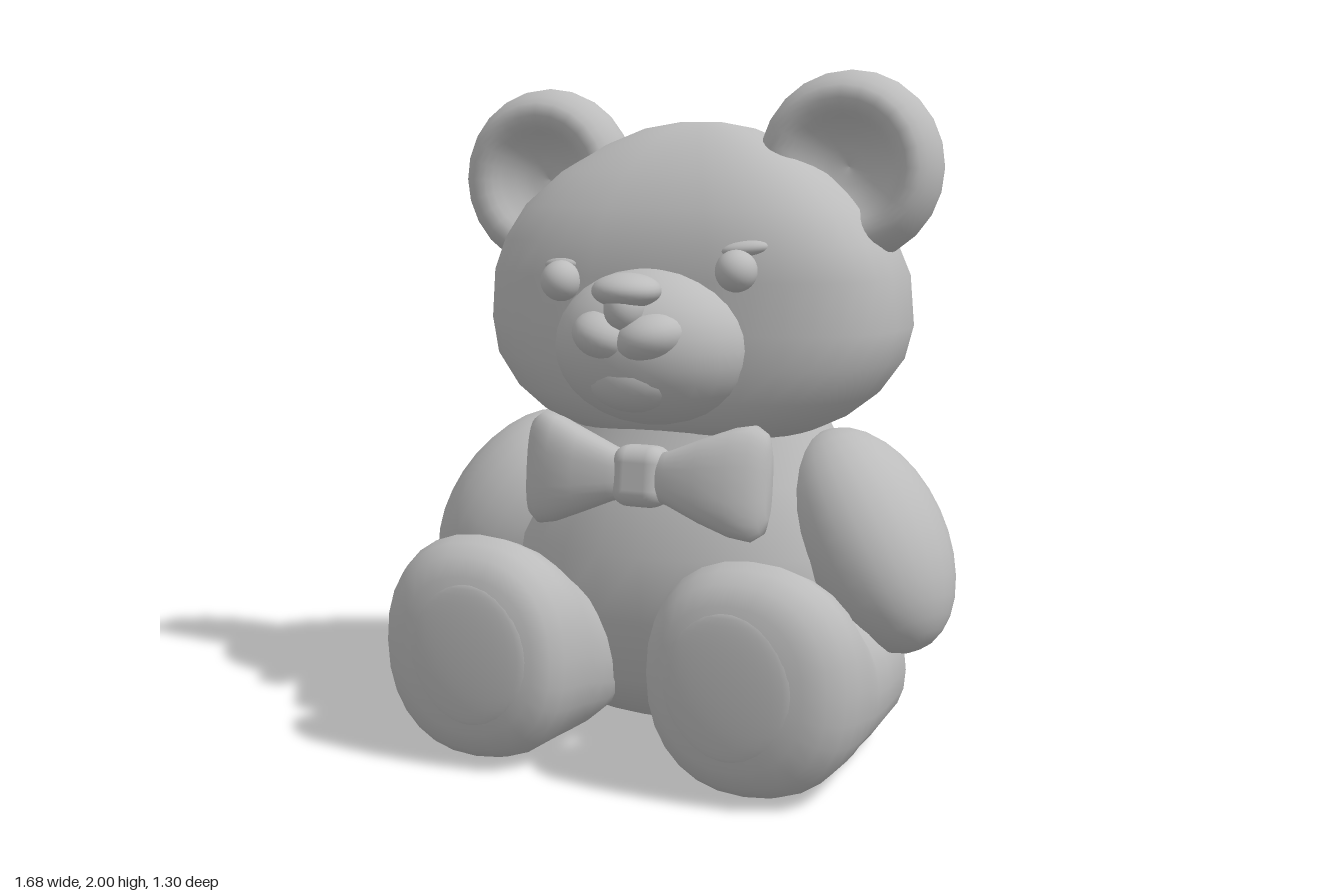
import * as THREE from 'three';
import { RoundedBoxGeometry } from 'three/addons/geometries/RoundedBoxGeometry.js';

const plush = new THREE.MeshStandardMaterial({ color: 0xbcbcbc });
plush.name = 'plush grey';

// Closed skin over rows of [t, centreU, centreV, radiusU, radiusV], t rising along the axis.
// The powers set how square the +u and -u halves of each section are.
function loft(rows, axis, power = 2, backPower = power, n = 28) {
  const pos = [], idx = [];
  const put = (t, u, v) => {
    if (axis === 'x') pos.push(t, u, v);        // u = y, v = z
    else if (axis === 'y') pos.push(v, t, u);   // u = z, v = x
    else pos.push(u, v, t);                     // u = x, v = y
  };
  rows.forEach(([t, cu, cv, ru, rv]) => {
    for (let j = 0; j < n; j++) {
      const a = (j / n) * Math.PI * 2, c = Math.cos(a), s = Math.sin(a);
      const e = 2 / (c > 0 ? power : backPower);
      put(t, cu + ru * Math.sign(c) * Math.abs(c) ** e, cv + rv * Math.sign(s) * Math.abs(s) ** e);
    }
  });
  for (let i = 0; i < rows.length - 1; i++) {
    for (let j = 0; j < n; j++) {
      const k = (j + 1) % n, a = i * n + j, b = i * n + k;
      idx.push(a, b, b + n, a, b + n, a + n);
    }
  }
  const first = rows[0], last = rows[rows.length - 1], end = (rows.length - 1) * n;
  const c0 = pos.length / 3;
  put(first[0], first[1], first[2]);
  put(last[0], last[1], last[2]);
  for (let j = 0; j < n; j++) {
    const k = (j + 1) % n;
    idx.push(c0, k, j, c0 + 1, end + j, end + k);
  }
  const g = new THREE.BufferGeometry();
  g.setAttribute('position', new THREE.Float32BufferAttribute(pos, 3));
  g.setIndex(idx);
  g.computeVertexNormals();
  return g;
}

export function createModel() {
  const bear = new THREE.Group();
  bear.name = 'teddyBear';

  const add = (name, geometry, x = 0, y = 0, z = 0) => {
    const m = new THREE.Mesh(geometry, plush);
    m.name = name;
    m.position.set(x, y, z);
    bear.add(m);
    return m;
  };
  const blob = (name, x, y, z, rx, ry, rz) =>
    add(name, new THREE.SphereGeometry(1, 24, 16).scale(rx, ry, rz), x, y, z);

  // Torso, tucked under between the legs: [y, centre z, centre x, half depth, half width]
  add('body', loft([
    [0.012, -0.22, 0, 0.2, 0.36], [0.035, -0.22, 0, 0.275, 0.47],
    [0.1, -0.21, 0, 0.36, 0.575], [0.2, -0.195, 0, 0.435, 0.625],
    [0.4, -0.17, 0, 0.48, 0.638], [0.6, -0.15, 0, 0.47, 0.585],
    [0.8, -0.15, 0, 0.385, 0.485], [0.95, -0.15, 0, 0.31, 0.405], [1.05, -0.15, 0, 0.28, 0.36],
  ], 'y', 2.1));

  // Head, with a broad face and a rounder back: same layout as the torso
  add('head', loft([
    [0.92, -0.155, 0, 0.275, 0.35], [0.98, -0.14, 0, 0.34, 0.475], [1.05, -0.15, 0, 0.385, 0.565],
    [1.15, -0.16, 0, 0.418, 0.636], [1.25, -0.17, 0, 0.422, 0.66], [1.4, -0.167, 0, 0.418, 0.648],
    [1.5, -0.16, 0, 0.4, 0.607], [1.6, -0.155, 0, 0.36, 0.54], [1.7, -0.15, 0, 0.29, 0.425],
    [1.78, -0.15, 0, 0.205, 0.29], [1.83, -0.15, 0, 0.12, 0.17], [1.85, -0.15, 0, 0.04, 0.06],
  ], 'y', 2.8, 1.95, 36));

  // Ears: thick rounded cups, hollow at the front
  const earProfile = new THREE.CatmullRomCurve3([
    [0, -0.135], [0.11, -0.128], [0.21, -0.09], [0.275, -0.01], [0.272, 0.06],
    [0.23, 0.12], [0.18, 0.12], [0.13, 0.08], [0.07, 0.045], [0, 0.03],
  ].map(([r, h]) => new THREE.Vector3(r, h, 0))).getPoints(24)
    .map((p) => new THREE.Vector2(Math.max(p.x, 0), p.y));
  earProfile[0].x = earProfile[24].x = 0;
  for (const [name, x, y] of [['leftEar', 0.485, 1.72], ['rightEar', -0.495, 1.672]]) {
    add(name, new THREE.LatheGeometry(earProfile, 24), x, y, -0.135).rotation.x = Math.PI / 2;
  }

  // Muzzle, nose and mouth
  blob('muzzle', 0, 1.208, 0.2, 0.3, 0.23, 0.255);
  blob('nose', 0, 1.383, 0.395, 0.1, 0.05, 0.095);
  blob('noseBridge', 0, 1.335, 0.4, 0.06, 0.07, 0.075);
  blob('chin', 0, 1.13, 0.335, 0.15, 0.1, 0.11);
  for (const s of [1, -1]) {
    blob('lip', s * 0.065, 1.25, 0.36, 0.11, 0.075, 0.125).rotation.z = s * 0.25;
  }

  // Eyes under small brows
  for (const [side, x, y, by, lean] of [['left', 0.27, 1.435, 1.495, 0.12], ['right', -0.28, 1.39, 1.435, 0.05]]) {
    blob(side + 'Eye', x, y, 0.245, 0.06, 0.06, 0.065);
    const brow = blob(side + 'Brow', x + Math.sign(x) * 0.015, by, 0.2, 0.075, 0.025, 0.04);
    brow.rotation.set(0, Math.sign(x) * 0.3, lean);
  }

  for (const s of [1, -1]) {
    const side = s > 0 ? 'left' : 'right';

    // Arm: a long egg hanging out from the shoulder
    const arm = blob(side + 'Arm', s * 0.58, 0.628, -0.065, 0.22, 0.355, 0.26);
    arm.quaternion.setFromUnitVectors(new THREE.Vector3(0, 1, 0),
      new THREE.Vector3(-s * 0.5, 0.83, -0.23).normalize());

    // Leg: [z, centre x, centre y, half width, half height]
    add(side + 'Leg', loft([
      [-0.4, s * 0.34, 0.2, 0.12, 0.1], [-0.3, s * 0.37, 0.21, 0.23, 0.19],
      [-0.1, s * 0.41, 0.23, 0.275, 0.222], [0.1, s * 0.415, 0.237, 0.28, 0.233],
      [0.22, s * 0.41, 0.25, 0.29, 0.247], [0.32, s * 0.415, 0.285, 0.303, 0.28],
      [0.42, s * 0.42, 0.323, 0.312, 0.317], [0.5, s * 0.42, 0.338, 0.308, 0.332],
      [0.55, s * 0.418, 0.338, 0.292, 0.318], [0.595, s * 0.41, 0.34, 0.26, 0.286],
      [0.628, s * 0.402, 0.344, 0.21, 0.23], [0.645, s * 0.397, 0.347, 0.1, 0.11],
    ], 'z', 2.25));
    blob(side + 'SolePad', s * 0.397, 0.347, 0.627, 0.19, 0.21, 0.022);
  }

  // Bow tie: two flared wings swept back from a knot;
  // wing rows are [x, centre y, sweep in z, half height, half depth]
  const bow = new THREE.Group();
  bow.name = 'bowTie';
  const wing = (s) => loft([
    [0.02, 0, 0, 0.06, 0.045], [0.09, 0, 0, 0.08, 0.06], [0.19, 0, 0, 0.122, 0.08],
    [0.28, 0, -s * 0.015, 0.157, 0.085], [0.335, 0, -s * 0.028, 0.167, 0.075],
    [0.367, 0, -s * 0.035, 0.145, 0.055], [0.38, 0, -s * 0.038, 0.1, 0.028],
  ], 'x', 2.6);
  const parts = [
    ['leftWing', wing(1), 0],
    ['rightWing', wing(-1), Math.PI],
    ['knot', new RoundedBoxGeometry(0.165, 0.18, 0.13, 4, 0.05), 0],
  ];
  for (const [name, geometry, turn] of parts) {
    const m = new THREE.Mesh(geometry, plush);
    m.name = name;
    m.rotation.y = turn;
    bow.add(m);
  }
  bow.position.set(-0.008, 0.835, 0.277);
  bow.rotation.x = -0.12;
  bear.add(bow);

  return bear;
}
